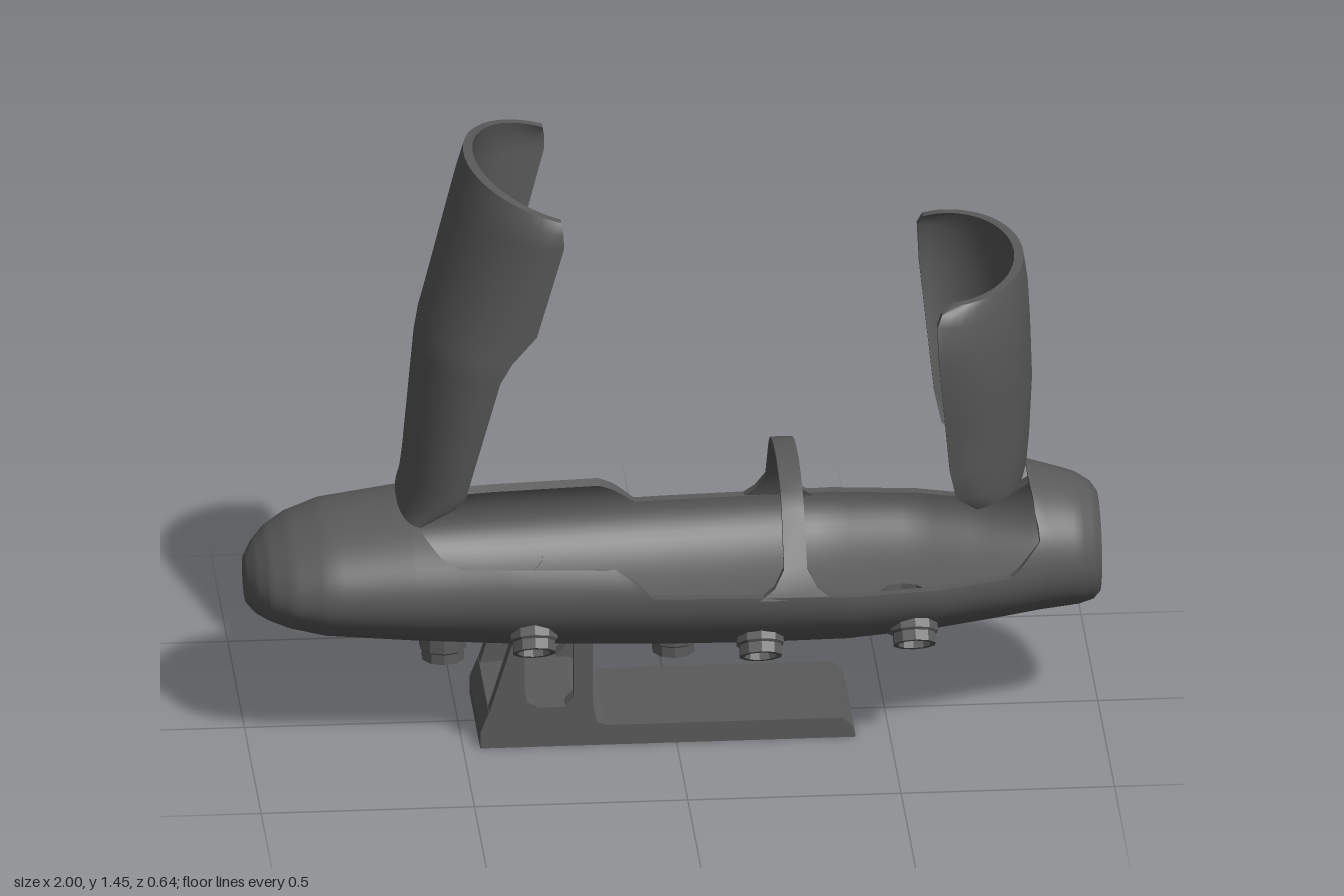
import * as THREE from 'three';
import { toCreasedNormals } from 'three/addons/utils/BufferGeometryUtils.js';

const darkGrey = new THREE.MeshStandardMaterial({ color: 0x5a5a5a, side: THREE.DoubleSide });

function add(parent, geometry, name) {
  const mesh = new THREE.Mesh(geometry, darkGrey);
  mesh.name = name;
  parent.add(mesh);
  return mesh;
}

// Skins closed rings (outer points, then inner points in reverse) and caps both ends.
function loft(rings, crease = 0.6) {
  const n = rings[0].length, last = (rings.length - 1) * n, index = [];
  for (let i = 0; i < rings.length - 1; i++) {
    for (let j = 0; j < n; j++) {
      const k = (j + 1) % n, a = i * n + j, b = i * n + k;
      index.push(a, a + n, b, b, a + n, b + n);
    }
  }
  for (let j = 0; j < n / 2 - 1; j++) {
    const a = j, b = j + 1, c = n - 1 - j, d = n - 2 - j;
    index.push(a, b, c, b, d, c);
    index.push(last + a, last + c, last + b, last + b, last + c, last + d);
  }
  const g = new THREE.BufferGeometry();
  g.setAttribute('position', new THREE.Float32BufferAttribute(rings.flat(2), 3));
  g.setIndex(index);
  return toCreasedNormals(g, crease);
}

// Linear lookup in rows whose first column is the key.
function lookup(rows, x) {
  let i = 0;
  while (i < rows.length - 2 && x > rows[i + 1][0]) i++;
  const a = rows[i], b = rows[i + 1], t = (x - a[0]) / (b[0] - a[0]);
  return a.map((v, k) => v + (b[k] - v) * t);
}

// Hull stations: x, centre height, half width, top, bottom
const HULL = [
  [-1, 0.38, 0.075, 0.43, 0.33], [-0.98, 0.385, 0.125, 0.46, 0.31],
  [-0.95, 0.39, 0.17, 0.49, 0.297], [-0.9, 0.395, 0.207, 0.522, 0.28],
  [-0.82, 0.4, 0.234, 0.552, 0.262], [-0.62, 0.405, 0.256, 0.58, 0.245],
  [-0.4, 0.415, 0.275, 0.6, 0.23], [0, 0.42, 0.302, 0.6, 0.22],
  [0.2, 0.42, 0.312, 0.6, 0.22], [0.4, 0.42, 0.32, 0.6, 0.225],
  [0.6, 0.42, 0.298, 0.605, 0.24], [0.75, 0.42, 0.25, 0.605, 0.253],
  [0.86, 0.42, 0.205, 0.605, 0.262], [0.95, 0.417, 0.175, 0.57, 0.268],
  [0.985, 0.415, 0.15, 0.548, 0.276], [1, 0.412, 0.13, 0.525, 0.292],
];
// Height of the opening's edge along x
const RIM = [
  [-1, 1], [-0.625, 1], [-0.62, 0.579], [-0.59, 0.543], [-0.555, 0.51], [-0.51, 0.49],
  [-0.15, 0.49], [-0.115, 0.47], [-0.065, 0.425], [0.78, 0.425], [0.8, 0.44], [0.85, 0.495],
  [0.858, 0.604], [0.86, 1], [1, 1],
];

function hullGeometry() {
  const marks = [...new Set([...HULL, ...RIM].map((r) => r[0]))].sort((a, b) => a - b);
  const xs = [];
  marks.forEach((x, i) => {
    const next = marks[i + 1];
    if (next === undefined) return xs.push(x);
    const steps = next - x > 0.01 ? 5 : 2;
    for (let k = 0; k < steps; k++) xs.push(x + ((next - x) * k) / steps);
  });
  const M = 64, wall = 0.025;
  const rings = xs.map((x, s) => {
    const [, yc, w, top, bottom] = lookup(HULL, x);
    const rim = lookup(RIM, x)[1];
    const limit = Math.acos(THREE.MathUtils.clamp((yc - rim) / (top - yc), -1, 1));
    const atEnd = s === 0 || s === xs.length - 1;
    // The hood over the right end of the opening leans inward.
    const lean = 0.25 * THREE.MathUtils.smoothstep(x, 0.8, 0.85) * (1 - THREE.MathUtils.smoothstep(x, 0.86, 0.95));
    const point = (j, t, scale) => {
      const a = THREE.MathUtils.clamp(Math.PI * ((2 * j) / M - 1), -limit, limit), c = Math.cos(a);
      const h = (c > 0 ? yc - bottom : top - yc) - t;
      const y = yc - scale * h * c;
      return [x - lean * Math.max(0, y - 0.5), y, scale * (w - t) * Math.sin(a)];
    };
    const ring = [];
    for (let j = 0; j <= M; j++) ring.push(point(j, 0, 1));
    for (let j = M; j >= 0; j--) ring.push(point(j, wall, atEnd ? 0 : 1));
    return ring;
  });
  return loft(rings);
}

// Curved cover; rows: spine x, spine y, wing edge x, wing edge y, half width
function coverGeometry(rows, side) {
  const M = 28, wall = 0.022;
  return loft(rows.map(([bx, by, ex, ey, w]) => {
    const point = (j, t) => {
      const a = ((2 * j) / M - 1) * Math.PI / 2, f = 1 - Math.cos(a);
      const x = bx - side * t;
      return [x + (ex - x) * f, by + (ey - by) * f, side * (w - t) * Math.sin(a)];
    };
    const ring = [];
    for (let j = 0; j <= M; j++) ring.push(point(j, 0));
    for (let j = M; j >= 0; j--) ring.push(point(j, wall));
    return ring;
  }));
}

// Arched strap across the opening; rows: z, height, half breadth (flared at the rim)
function archGeometry() {
  const half = [[-0.314, 0.418, 0.085], [-0.305, 0.445, 0.05], [-0.283, 0.485, 0.027],
    [-0.2, 0.6, 0.026], [-0.16, 0.63, 0.026], [-0.1, 0.65, 0.026], [-0.04, 0.66, 0.026]];
  const rows = [...half, ...half.map(([z, y, h]) => [-z, y, h]).reverse()];
  return loft(rows.map(([z, y, h]) => {
    const k = z / 0.314, t = 0.022;
    const at = (x, d) => [0.27 + x, y - d * (1 - Math.abs(k)), z - d * k];
    return [at(-h, 0), at(h, 0), at(h, t), at(-h, t)];
  }));
}

// Ringed nozzle with a recessed mouth; its root reaches back into the hull
function nozzleGeometry(root) {
  const profile = [[0.057, -root], [0.057, -0.03], [0.051, -0.025], [0.051, 0],
    [0.039, 0], [0.036, -0.025], [0, -0.025]].map((p) => new THREE.Vector2(...p));
  return toCreasedNormals(new THREE.LatheGeometry(profile, 10), 0.3);
}

function extrude(points, depth, z) {
  const shape = new THREE.Shape(points.map((p) => new THREE.Vector2(...p)));
  return new THREE.ExtrudeGeometry(shape, { depth, bevelEnabled: false }).translate(0, 0, z);
}

export function createModel() {
  const model = new THREE.Group();
  model.name = 'openPod';

  add(model, hullGeometry(), 'hull');
  add(model, archGeometry(), 'archStrap');

  add(model, coverGeometry([
    [-0.645, 0.575, -0.6, 0.583, 0.195], [-0.637, 0.625, -0.525, 0.642, 0.235],
    [-0.63, 0.68, -0.5, 0.675, 0.245], [-0.603, 0.98, -0.422, 0.98, 0.28],
    [-0.593, 1.04, -0.395, 1.03, 0.285], [-0.578, 1.1, -0.337, 1.1, 0.29],
    [-0.52, 1.33, -0.275, 1.33, 0.307], [-0.503, 1.395, -0.276, 1.365, 0.306],
    [-0.487, 1.45, -0.28, 1.39, 0.29],
  ], -1), 'tallCover');

  add(model, coverGeometry([
    [0.825, 0.607, 0.7, 0.586, 0.2], [0.832, 0.635, 0.65, 0.63, 0.235],
    [0.838, 0.7, 0.635, 0.7, 0.245], [0.845, 0.85, 0.62, 0.85, 0.28],
    [0.84, 1.0, 0.605, 1.0, 0.312], [0.835, 1.09, 0.6, 1.1, 0.312],
    [0.829, 1.13, 0.612, 1.128, 0.3], [0.825, 1.157, 0.64, 1.142, 0.28],
  ], 1), 'shortCover');

  // Thrusters: one row under the keel, one along each flank
  const thrusters = new THREE.Group();
  thrusters.name = 'thrusters';
  model.add(thrusters);
  const keelNozzle = nozzleGeometry(0.09), flankNozzle = nozzleGeometry(0.062);
  for (const [x, y] of [[-0.535, 0.165], [0.005, 0.165], [0.545, 0.2]]) {
    const m = add(thrusters, keelNozzle, 'keelThruster');
    m.position.set(x, y, 0);
    m.rotation.x = Math.PI;
  }
  for (const [x, y, z] of [[-0.34, 0.277, 0.25], [0.19, 0.255, 0.26], [0.55, 0.275, 0.265]]) {
    for (const s of [1, -1]) {
      const m = add(thrusters, flankNozzle, 'flankThruster');
      m.position.set(x, y, s * z);
      m.rotation.x = s * 2.5;
    }
  }

  // Stand: full-width foot and a pair of posts on each edge
  const stand = new THREE.Group();
  stand.name = 'stand';
  model.add(stand);
  add(stand, extrude([[-0.46, 0], [0.42, 0], [0.415, 0.025], [0.39, 0.05], [-0.165, 0.05],
    [-0.187, 0.06], [-0.196, 0.09], [-0.24, 0.1], [-0.34, 0.1], [-0.44, 0.09], [-0.46, 0.04]],
  0.33, -0.165), 'foot');
  for (const z of [-0.165, 0.125]) {
    add(stand, extrude([[-0.442, 0.08], [-0.33, 0.08], [-0.33, 0.105], [-0.35, 0.115], [-0.357, 0.135],
      [-0.357, 0.265], [-0.385, 0.265]], 0.04, z), 'slantedPost');
    add(stand, extrude([[-0.26, 0.08], [-0.196, 0.08], [-0.196, 0.27], [-0.24, 0.27],
      [-0.24, 0.125], [-0.26, 0.105]], 0.04, z), 'uprightPost');
  }
  return model;
}
